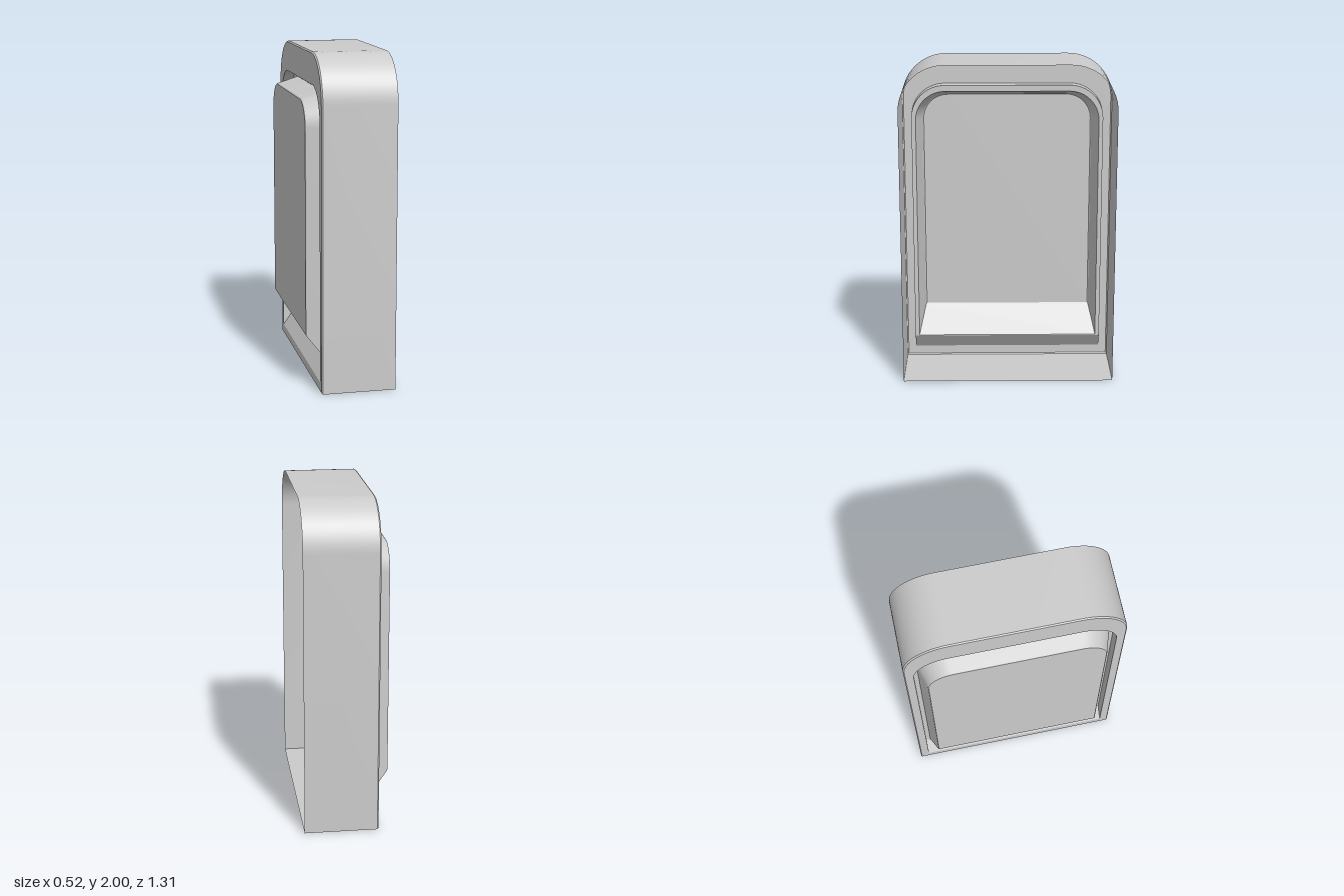
import * as THREE from 'three';
import { toCreasedNormals } from 'three/addons/utils/BufferGeometryUtils.js';

const material = new THREE.MeshStandardMaterial({ color: 0xcccccc, side: THREE.DoubleSide });

// Arched outline in the plane at x: square bottom corners, rounded top corners.
function outline(x, halfWidth, bottom, top, radius, segments = 16) {
  const points = [
    new THREE.Vector3(x, bottom, -halfWidth),
    new THREE.Vector3(x, bottom, halfWidth),
  ];
  for (const [side, start] of [[1, 0], [-1, Math.PI / 2]]) {
    for (let i = 0; i <= segments; i++) {
      const a = start + (i / segments) * (Math.PI / 2);
      points.push(new THREE.Vector3(
        x,
        top - radius + radius * Math.sin(a),
        side * (halfWidth - radius) + radius * Math.cos(a),
      ));
    }
  }
  return points;
}

function makeMesh(name, triangles) {
  const geometry = new THREE.BufferGeometry().setFromPoints(triangles);
  const mesh = new THREE.Mesh(toCreasedNormals(geometry, 0.5), material);
  mesh.name = name;
  return mesh;
}

// Surface spanning two matching outlines.
function strip(name, a, b) {
  const triangles = [];
  for (let i = 0; i < a.length; i++) {
    const j = (i + 1) % a.length;
    triangles.push(a[i], a[j], b[j], a[i], b[j], b[i]);
  }
  return makeMesh(name, triangles);
}

// Flat fill of a convex outline.
function cap(name, a) {
  const triangles = [];
  for (let i = 1; i < a.length - 1; i++) triangles.push(a[0], a[i], a[i + 1]);
  return makeMesh(name, triangles);
}

export function createModel() {
  const group = new THREE.Group();
  group.name = 'archedCover';

  // Cross-sections from the open side to the raised panel
  const openEdge = outline(0.26, 0.655, 0, 2, 0.28);
  const wallEnd = outline(-0.182, 0.655, 0, 2, 0.28);
  const rimOuter = outline(-0.19, 0.648, 0.007, 1.993, 0.273);
  const rimInner = outline(-0.19, 0.6, 0.06, 1.81, 0.21);
  const grooveOuter = outline(-0.125, 0.598, 0.155, 1.808, 0.21);
  const grooveInner = outline(-0.125, 0.572, 0.16, 1.77, 0.185);
  const panelEdge = outline(-0.255, 0.532, 0.325, 1.732, 0.16);
  const panelFace = outline(-0.26, 0.527, 0.333, 1.726, 0.155);

  group.add(
    strip('outerWall', openEdge, wallEnd),
    strip('wallBevel', wallEnd, rimOuter),
    strip('rim', rimOuter, rimInner),
    strip('grooveWall', rimInner, grooveOuter),
    strip('grooveFloor', grooveOuter, grooveInner),
    strip('panelSide', grooveInner, panelEdge),
    strip('panelBevel', panelEdge, panelFace),
    cap('raisedPanel', panelFace),
  );
  return group;
}
